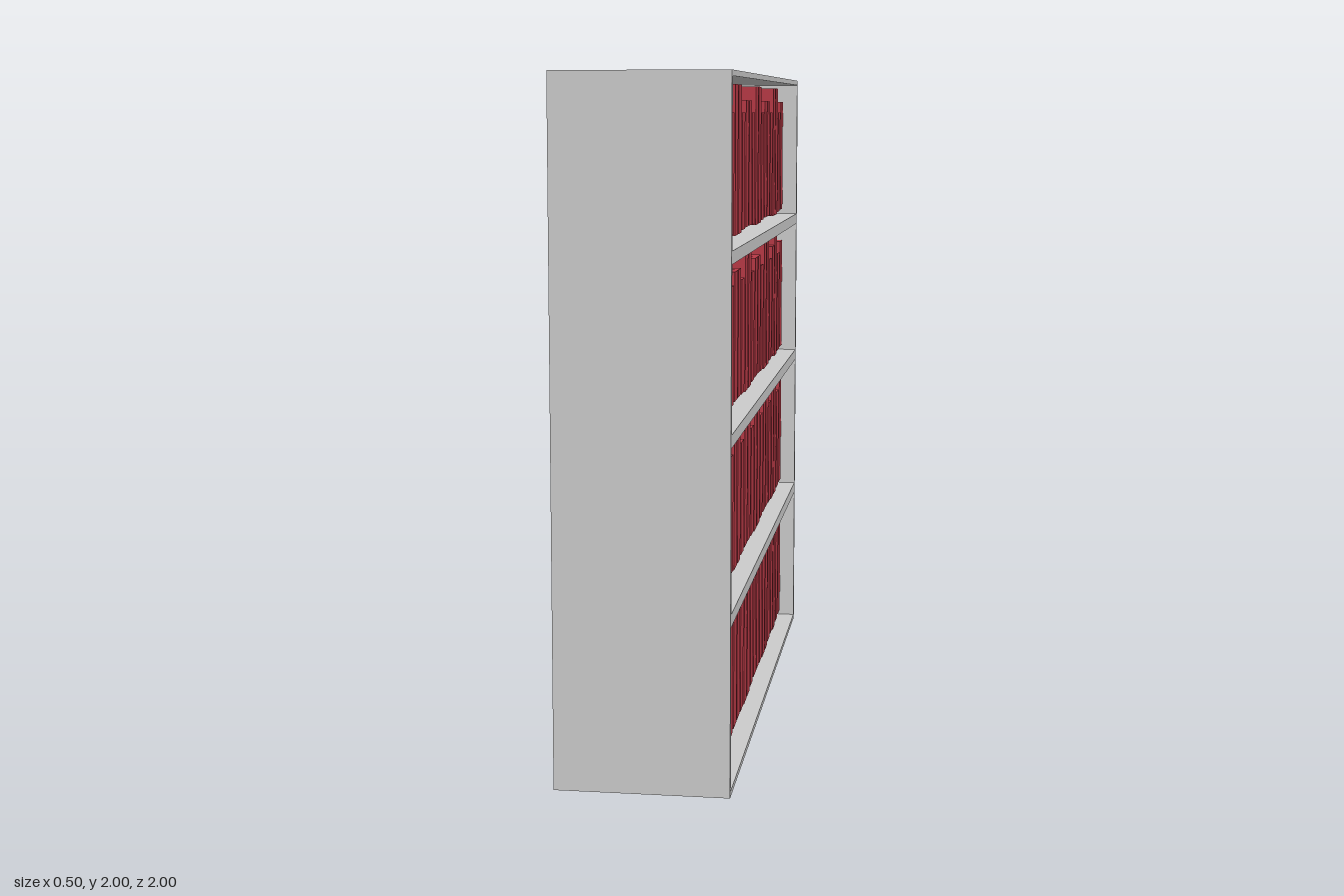
import * as THREE from 'three';

const WALL = 0.016;
const DEPTH = 0.5;
const grey = new THREE.MeshStandardMaterial({ color: 0xcccccc });
const red = new THREE.MeshStandardMaterial({ color: 0xb83a46 });

// Box given by its minimum and maximum corners
function box(name, [x0, y0, z0], [x1, y1, z1], material) {
  const mesh = new THREE.Mesh(new THREE.BoxGeometry(x1 - x0, y1 - y0, z1 - z0), material);
  mesh.position.set((x0 + x1) / 2, (y0 + y1) / 2, (z0 + z1) / 2);
  mesh.name = name;
  return mesh;
}

// Book sizes: bottom and top above the compartment base
const sizes = { S: [0.036, 0.387], M: [0.039, 0.924], T: [0.03, 0.969] };
sizes.M[1] = 0.424;
sizes.T[1] = 0.469;

// Order of books on even and odd shelves, from +z to -z
const rows = ['MSTTSMMSTTSMMSTTSMTSM', 'MSTMSTTSMMSTTSMMSTTSM'];

// Books stand in groups of three with slightly uneven gaps
function bookZ(i) {
  const n = i + 2;
  return 1.116 - 0.278 * Math.floor(n / 3) - [0, 0.097, 0.185][n % 3];
}

function bookRow(level) {
  const group = new THREE.Group();
  group.name = 'bookRow';
  [...rows[level % 2]].forEach((kind, i) => {
    const [bottom, top] = sizes[kind];
    const z = bookZ(i);
    group.add(box('book', [-0.2, bottom, z - 0.0355], [0.2, top, z + 0.0355], red));
  });
  group.position.y = level * 0.5;
  return group;
}

export function createModel() {
  const model = new THREE.Group();
  model.name = 'bookcase';
  const h = DEPTH / 2;
  const inner = 1 - WALL;

  // Case, open towards +x
  model.add(box('backPanel', [-h, WALL, -inner], [-h + WALL, 2 - WALL, inner], grey));
  model.add(box('sidePanel', [-h, 0, inner], [h, 2, 1], grey));
  model.add(box('sidePanel', [-h, 0, -1], [h, 2, -inner], grey));
  model.add(box('bottomPanel', [-h, 0, -inner], [h, WALL, inner], grey));
  model.add(box('topPanel', [-h, 2 - WALL, -inner], [h, 2, inner], grey));

  // Shelves between the four compartments
  for (let i = 1; i < 4; i++) {
    const y = i * 0.5;
    model.add(box('shelf', [-h + WALL, y - 0.016, -inner], [h, y + 0.02, inner], grey));
  }

  for (let i = 0; i < 4; i++) model.add(bookRow(i));
  return model;
}
